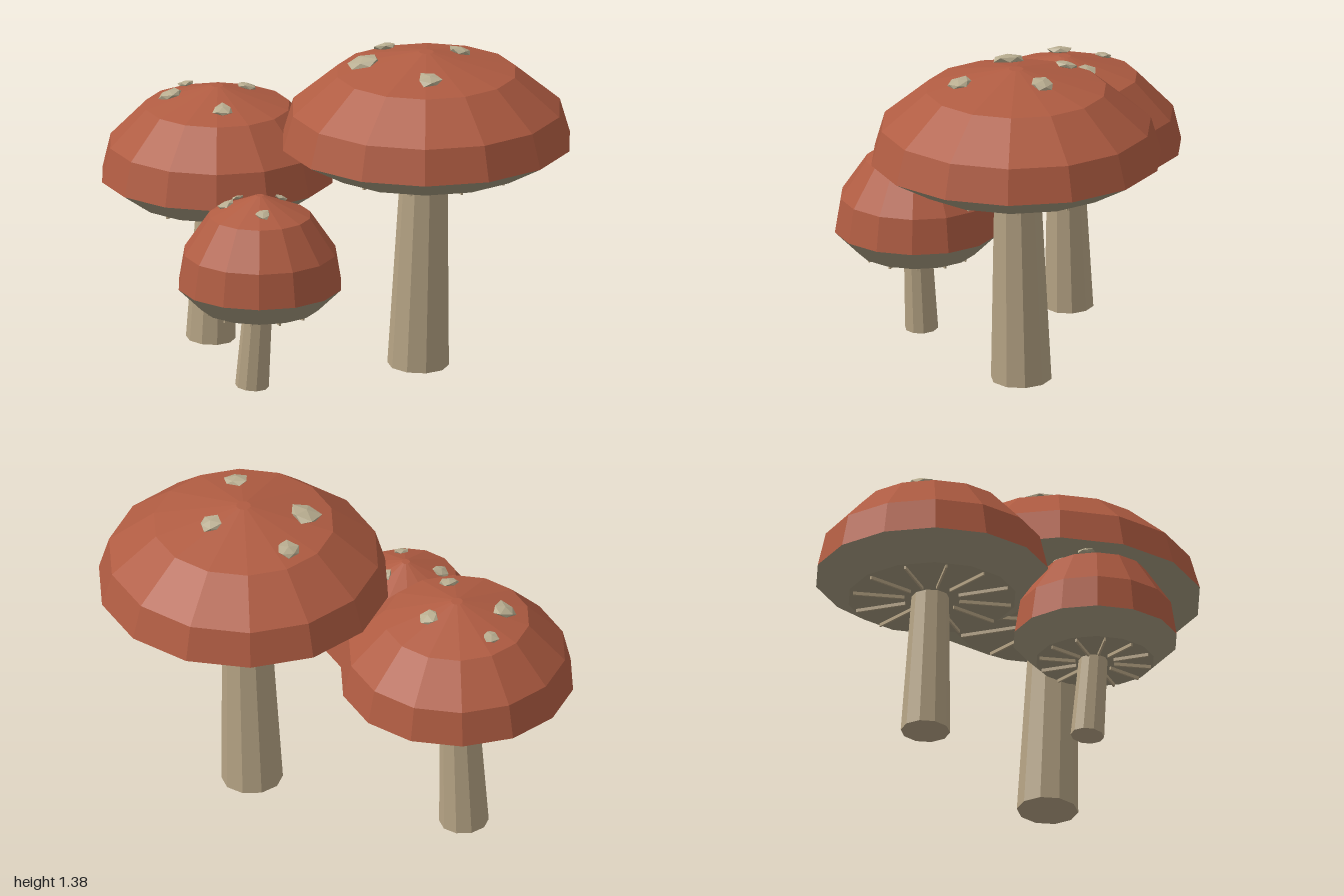
import * as THREE from 'three';

const mat = (name, color, extra = {}) =>
  Object.assign(new THREE.MeshStandardMaterial({ color, flatShading: true, ...extra }), { name });

const capRed = mat('capRed', 0xb05c42);
const stemTan = mat('stemTan', 0xb5a384);
const underside = mat('undersideGrey', 0xa0957b);
const spotCream = mat('spotCream', 0xb8ad90);

const CAP_SIDES = 14, CAP_HEIGHT = 0.39, LIP = 0.095, GILLS = 12;

// x, z: cap centre; y: widest level of the cap; footX: where the stem meets the ground
// spots: [x, z, radius]
const MUSHROOMS = [
  { name: 'largeMushroom', x: 0.39, z: -0.205, y: 0.985, r: 0.61, footX: 0.346, footR: 0.128, neckR: 0.096,
    spots: [[0.105, -0.285, 0.048], [0.445, -0.36, 0.053], [0.185, -0.05, 0.068], [0.555, -0.025, 0.053]] },
  { name: 'mediumMushroom', x: -0.51, z: 0.062, y: 0.72, r: 0.49, footX: -0.546, footR: 0.103, neckR: 0.077,
    spots: [[-0.73, 0, 0.037], [-0.46, -0.07, 0.043], [-0.67, 0.175, 0.054], [-0.37, 0.2, 0.044]] },
  { name: 'smallMushroom', x: 0.04, z: 0.46, y: 0.455, r: 0.345, footX: -0.002, footR: 0.07, neckR: 0.059,
    spots: [[-0.12, 0.41, 0.026], [0.075, 0.365, 0.031], [-0.08, 0.54, 0.038], [0.135, 0.555, 0.032]] },
];

function addMesh(parent, name, geometry, material) {
  const m = new THREE.Mesh(geometry, material);
  m.name = name;
  parent.add(m);
  return m;
}

const lathe = (pts) =>
  new THREE.LatheGeometry(pts.map(([r, y]) => new THREE.Vector2(r, y)), CAP_SIDES, Math.PI / 2);

// Flattened irregular pebble with one corner pointing up
function pebble(radius, seed) {
  const g = new THREE.IcosahedronGeometry(1, 0);
  g.rotateZ(-Math.atan(2 / (1 + Math.sqrt(5))));
  const p = g.attributes.position;
  for (let i = 0; i < p.count; i++) {
    const wobble = 1 + 0.16 * Math.sin(p.getX(i) * 5 + p.getZ(i) * 7 + seed * 2.3);
    p.setXYZ(i, p.getX(i) * wobble, p.getY(i), p.getZ(i) * wobble);
  }
  g.scale(radius, radius * 0.32, radius);
  g.rotateY(seed * 1.7);
  return g;
}

function buildMushroom(s, index) {
  const group = new THREE.Group();
  group.name = s.name;
  const bottom = s.y - LIP;

  // Leaning stem, tucked into the cap
  const lean = Math.atan2((s.x - s.footX) * 0.75, bottom);
  const length = bottom + 0.03;
  const stemGeo = new THREE.CylinderGeometry(s.neckR, s.footR, length, 10, 1, false, Math.PI / 2);
  stemGeo.translate(0, length / 2, 0);
  const stem = addMesh(group, 'stem', stemGeo, stemTan);
  stem.position.set(s.footX, s.footR * Math.sin(lean), s.z);
  stem.rotation.z = -lean;

  // Cap dome and its underside
  const cap = new THREE.Group();
  cap.name = 'cap';
  cap.position.set(s.x, s.y, s.z);
  group.add(cap);
  const dome = [[1, 0], [0.93, 0.375], [0.62, 0.78], [0.05, 1], [0, 1]];
  addMesh(cap, 'dome', lathe(dome.map(([r, y]) => [r * s.r, y * CAP_HEIGHT])), capRed);
  addMesh(cap, 'underside', lathe([[0, -LIP], [s.r * 0.72, -LIP], [s.r, 0]]), underside);

  // Radial gills
  const r0 = s.r * 0.24, r1 = s.r * 0.68;
  for (let i = 0; i < GILLS; i++) {
    const gillGeo = new THREE.BoxGeometry(r1 - r0, 0.016, 0.008);
    gillGeo.translate((r0 + r1) / 2, -LIP - 0.006, 0);
    addMesh(cap, 'gill', gillGeo, stemTan).rotation.y = (i / GILLS) * Math.PI * 2;
  }

  // Raised spots lying on the upper slope
  const slope = (0.22 * CAP_HEIGHT) / (0.57 * s.r);
  s.spots.forEach(([x, z, r], i) => {
    const dx = x - s.x, dz = z - s.z, d = Math.hypot(dx, dz);
    const spot = addMesh(cap, 'spot', pebble(r, index * 4 + i + 1), spotCream);
    spot.position.set(dx, CAP_HEIGHT - slope * (d - 0.05 * s.r) + 0.01, dz);
    const normal = new THREE.Vector3((dx / d) * slope, 1, (dz / d) * slope).normalize();
    spot.quaternion.setFromUnitVectors(new THREE.Vector3(0, 1, 0), normal);
  });
  return group;
}

export function createModel() {
  const model = new THREE.Group();
  model.name = 'mushroomCluster';
  MUSHROOMS.forEach((s, i) => model.add(buildMushroom(s, i)));
  return model;
}
